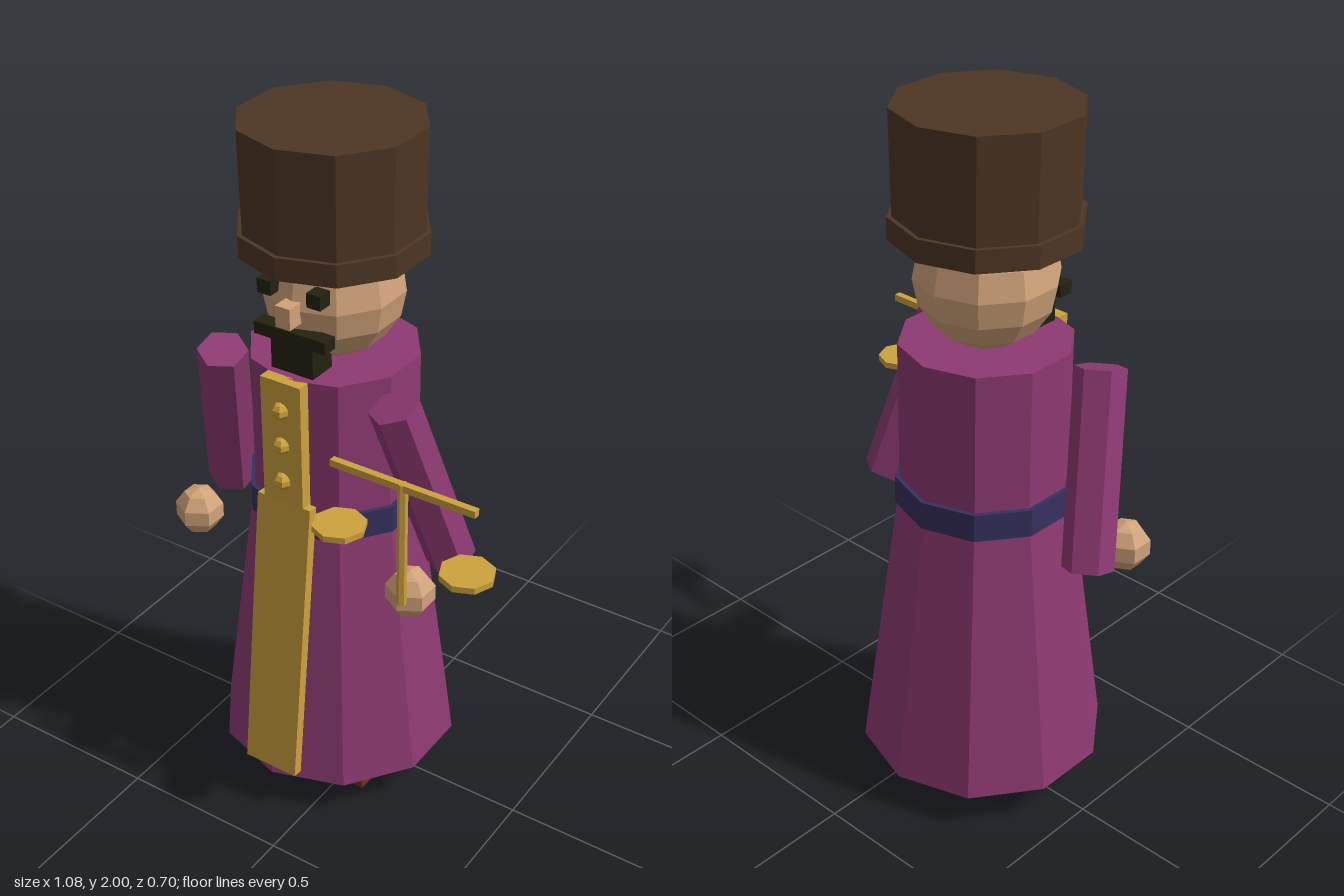
import * as THREE from 'three';

const paint = (name, color) => {
  const m = new THREE.MeshStandardMaterial({ color, flatShading: true });
  m.name = name;
  return m;
};

export function createModel() {
  const purple = paint('robe purple', 0x8e3a72);
  const gold = paint('gold', 0xcda33c);
  const skin = paint('skin', 0xd2a47a);
  const fur = paint('brown fur', 0x4d3624);
  const navy = paint('belt navy', 0x36305e);
  const leather = paint('boot leather', 0x74301f);
  const black = paint('beard black', 0x22220f);

  const model = new THREE.Group();
  model.name = 'figure with scales';
  const CX = -0.11; // the body's axis; the scales reach out to +x

  const add = (parent, name, geometry, material, x, y, z) => {
    const mesh = new THREE.Mesh(geometry, material);
    mesh.name = name;
    mesh.position.set(x, y, z);
    parent.add(mesh);
    return mesh;
  };
  // Box centred on x, spanning y0..y1 and z0..z1
  const box = (parent, name, material, x, w, y0, y1, z0, z1) =>
    add(parent, name, new THREE.BoxGeometry(w, y1 - y0, z1 - z0), material, x, (y0 + y1) / 2, (z0 + z1) / 2);
  // Ten-sided drum standing on the body's axis
  const drum = (parent, name, material, rTop, rBottom, y0, y1) =>
    add(parent, name, new THREE.CylinderGeometry(rTop, rBottom, y1 - y0, 10), material, CX, (y0 + y1) / 2, 0);

  const body = new THREE.Group();
  body.name = 'body';
  model.add(body);

  // Robe and belt
  drum(body, 'skirt', purple, 0.235, 0.35, 0.11, 0.95);
  drum(body, 'torso', purple, 0.234, 0.234, 0.93, 1.37);
  drum(body, 'belt', navy, 0.247, 0.247, 0.895, 0.975);

  // Gold front panels and buttons
  box(body, 'chestPanel', gold, CX, 0.125, 0.98, 1.37, 0.215, 0.25);
  const panel = box(body, 'skirtPanel', gold, CX, 0.17, 0.135, 1.005, 0.27, 0.3);
  panel.position.z = 0.287;
  panel.rotation.x = -0.12;
  for (const y of [1.07, 1.18, 1.285])
    add(body, 'button', new THREE.SphereGeometry(0.025, 6, 5), gold, CX, y, 0.25);

  // Head and face
  const head = new THREE.Group();
  head.name = 'head';
  model.add(head);
  const skull = add(head, 'skull', new THREE.SphereGeometry(0.194, 10, 8), skin, CX, 1.55, 0);
  skull.rotation.y = Math.PI / 2;
  box(head, 'nose', skin, CX, 0.045, 1.515, 1.575, 0.16, 0.23);
  box(head, 'moustache', black, CX, 0.22, 1.46, 1.495, 0.16, 0.205);
  box(head, 'beard', black, CX, 0.13, 1.365, 1.465, 0.11, 0.195);
  for (const s of [-1, 1])
    box(head, 'eye', black, CX + s * 0.076, 0.042, 1.58, 1.62, 0.16, 0.203);

  // Tall fur hat
  drum(head, 'hatBand', fur, 0.255, 0.255, 1.66, 1.722);
  drum(head, 'hatCrown', fur, 0.247, 0.242, 1.7, 2.0);

  // Arms, hands and boots on both sides
  for (const s of [-1, 1]) {
    const side = s > 0 ? 'left' : 'right';
    const arm = add(model, side + 'Sleeve', new THREE.CylinderGeometry(0.07, 0.07, 0.535, 6), purple,
      CX + s * 0.322, 1.075, 0.065);
    arm.rotation.set(0.27, 0, s * 0.185);
    const hand = add(model, side + 'Hand', new THREE.SphereGeometry(0.071, 6, 5), skin,
      CX + s * 0.354, 0.805, 0.175);
    hand.rotation.y = Math.PI / 6;
    box(model, side + 'Boot', leather, CX + s * 0.118, 0.148, 0, 0.13, -0.093, 0.165);
  }

  // Balance scales held in the left hand
  const scales = new THREE.Group();
  scales.name = 'scales';
  model.add(scales);
  const SX = 0.273, SZ = 0.265;
  add(scales, 'post', new THREE.CylinderGeometry(0.014, 0.014, 0.375, 6), gold, SX, 1.022, SZ);
  box(scales, 'beam', gold, SX, 0.428, 1.19, 1.21, SZ - 0.01, SZ + 0.01);
  for (const s of [-1, 1])
    add(scales, 'pan', new THREE.CylinderGeometry(0.074, 0.074, 0.018, 8), gold, SX + s * 0.193, 1.008, SZ);

  return model;
}
